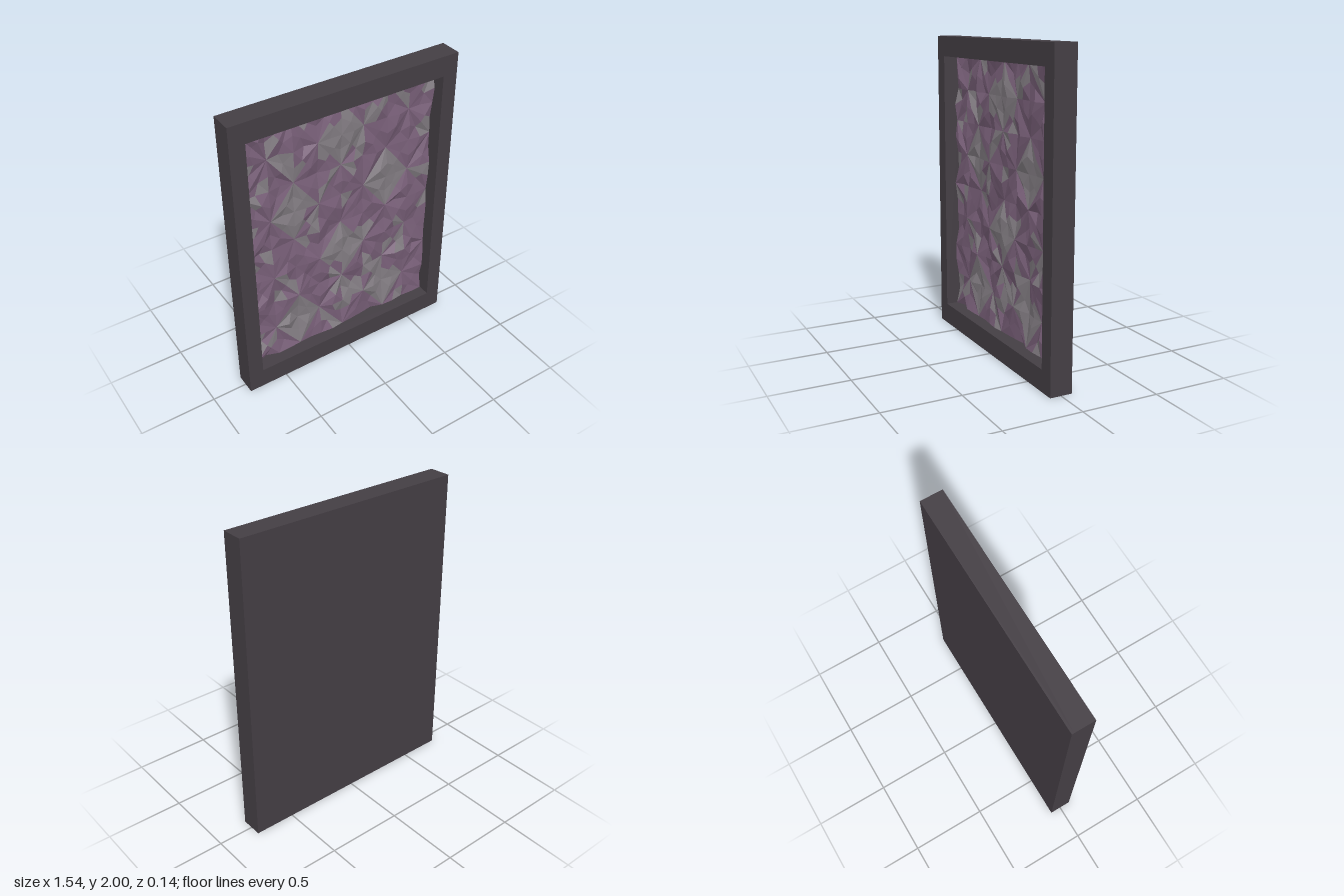
import * as THREE from 'three';

const W = 0.768, D = 0.072;                 // outer half width, half depth
const IN = 0.668, Y0 = 0.138, Y1 = 1.868;   // opening
const BACK = -0.058;                        // front of the back board
const N = 8;                                // facet grid cells per side

// Repeatable pseudo-random value for a pair of numbers
function hash(a, b) {
  const s = Math.sin(a * 127.1 + b * 311.7 + 4.3) * 43758.5453;
  return s - Math.floor(s);
}

function rect(PathType, x, y0, y1) {
  const p = new PathType();
  p.moveTo(-x, y0).lineTo(x, y0).lineTo(x, y1).lineTo(-x, y1).closePath();
  return p;
}

function facetMesh(name, positions, color) {
  const geo = new THREE.BufferGeometry();
  geo.setAttribute('position', new THREE.Float32BufferAttribute(positions, 3));
  geo.computeVertexNormals();
  const mat = new THREE.MeshStandardMaterial({ color, flatShading: true, side: THREE.DoubleSide });
  const mesh = new THREE.Mesh(geo, mat);
  mesh.name = name;
  return mesh;
}

// Faceted stone: a grid with alternating diagonals, each triangle cut into three kites
function createStone() {
  const mauve = [], grey = [];
  const point = (u, v) => [
    -IN + (2 * IN * u) / N,
    Y0 + ((Y1 - Y0) * v) / N,
    -0.02 + (hash(Math.round(u * 6), Math.round(v * 6)) - 0.5) * 0.036,
  ];
  const mid = (a, b) => [(a[0] + b[0]) / 2, (a[1] + b[1]) / 2];
  const isGem = ([i, j]) => i % 2 === 0 && j % 2 === 1 && i > 0 && i < N && (i + j) % 4 === 3;

  function addTriangle(tri) {
    const c = [0, 1].map((k) => (tri[0][k] + tri[1][k] + tri[2][k]) / 3);
    const gem = tri.some(isGem);
    tri.forEach((a, k) => {
      const p = point(...a), q = point(...mid(a, tri[(k + 1) % 3]));
      const r = point(...c), s = point(...mid(a, tri[(k + 2) % 3]));
      const chance = hash(c[0] * 3 + k * 0.7, c[1] * 3 - k * 1.3);
      const target = chance < (gem ? 0.92 : 0.24) ? grey : mauve;
      target.push(...p, ...q, ...r, ...p, ...r, ...s);
    });
  }

  for (let i = 0; i < N; i++) {
    for (let j = 0; j < N; j++) {
      const a = [i, j], b = [i + 1, j], c = [i + 1, j + 1], d = [i, j + 1];
      if ((i + j) % 2 === 0) {
        addTriangle([a, b, c]);
        addTriangle([a, c, d]);
      } else {
        addTriangle([a, b, d]);
        addTriangle([b, c, d]);
      }
    }
  }
  const stone = new THREE.Group();
  stone.name = 'stonePanel';
  stone.add(facetMesh('mauveFacets', mauve, 0x785f78));
  stone.add(facetMesh('greyFacets', grey, 0x827c82));
  return stone;
}

export function createModel() {
  const model = new THREE.Group();
  model.name = 'framedStonePanel';
  const dark = new THREE.MeshStandardMaterial({ color: 0x443e44, flatShading: true });

  // Rectangular frame with an opening
  const outline = rect(THREE.Shape, W, 0, 2);
  outline.holes.push(rect(THREE.Path, IN, Y0, Y1));
  const frame = new THREE.Mesh(
    new THREE.ExtrudeGeometry(outline, { depth: D - BACK, bevelEnabled: false }), dark);
  frame.position.z = BACK;
  frame.name = 'frame';

  // Solid board closing the back
  const board = new THREE.Mesh(new THREE.BoxGeometry(2 * W, 2, BACK + D), dark);
  board.position.set(0, 1, (BACK - D) / 2);
  board.name = 'backBoard';

  model.add(frame, board, createStone());
  return model;
}
